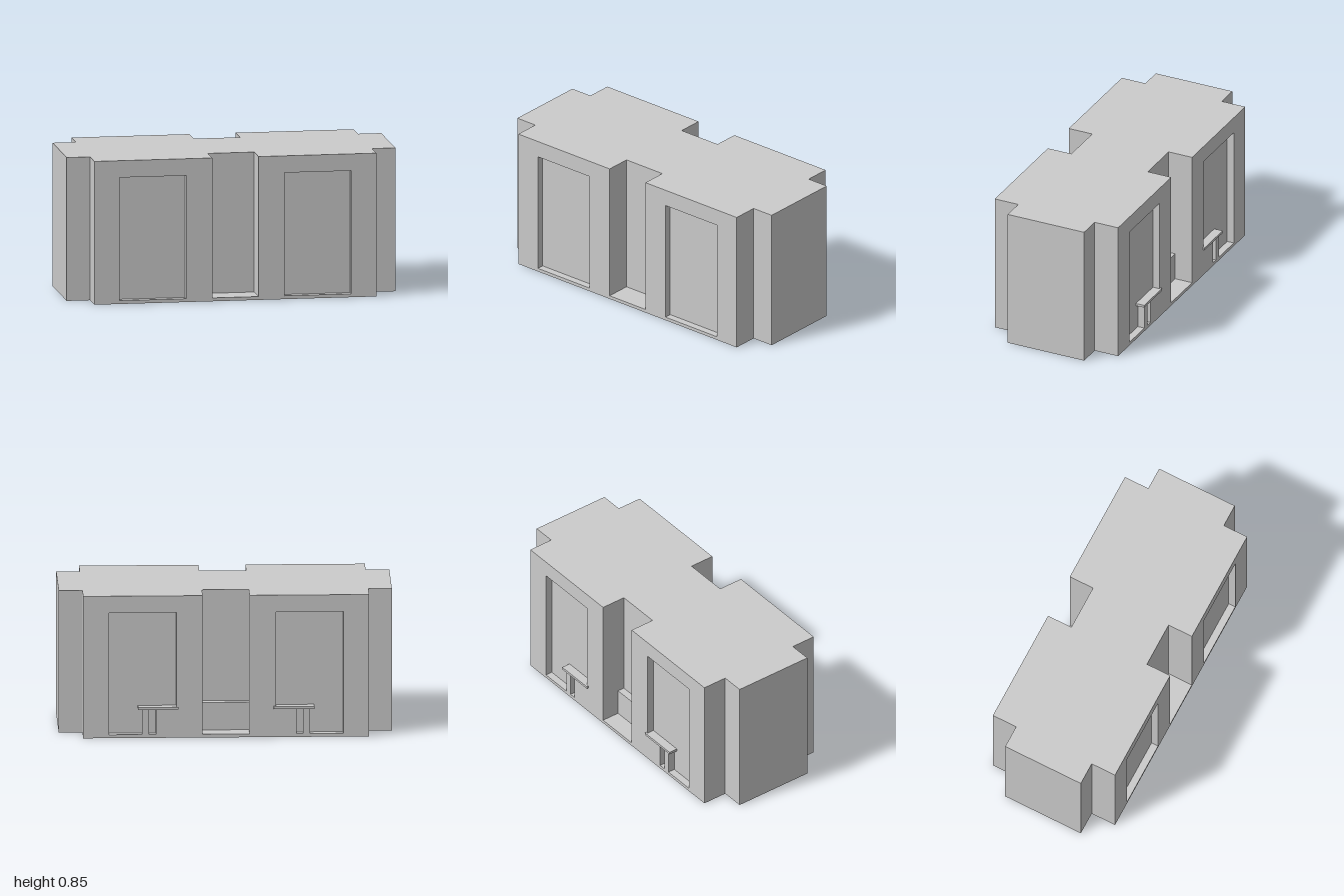
import * as THREE from 'three';

const material = new THREE.MeshStandardMaterial({ color: 0xcccccc, flatShading: true });
const thinMaterial = new THREE.MeshStandardMaterial({ color: 0xcccccc, flatShading: true, side: THREE.DoubleSide });

const FLOOR = 0.02, WINDOW_TOP = 0.75, TOP = 0.85;
const FACE = 0.402, RECESS = 0.359, NOTCH = 0.249;

// Plan outline as [x, z]; the second half is the first turned by 180 degrees
function outline({ notches = false, windows = false } = {}) {
  const dent = (x0, x1, z) => [[x0, FACE], [x0, z], [x1, z], [x1, FACE]];
  const half = [
    [-0.973, NOTCH], [-0.835, NOTCH], [-0.835, FACE],
    ...(windows ? dent(-0.685, -0.29, RECESS) : []),
    ...(notches ? dent(-0.137, 0.137, NOTCH) : []),
    ...(windows ? dent(0.29, 0.685, RECESS) : []),
    [0.835, FACE], [0.835, NOTCH], [0.973, NOTCH],
  ];
  return [...half, ...half.map(([x, z]) => [-x, -z])];
}

function planShape(points) {
  return new THREE.Shape(points.map(([x, z]) => new THREE.Vector2(x, -z)));
}

export function createModel() {
  const model = new THREE.Group();
  model.name = 'building';
  model.rotation.y = -0.157;

  const add = (name, geometry, mat = material) => {
    const mesh = new THREE.Mesh(geometry, mat);
    mesh.name = name;
    model.add(mesh);
    return mesh;
  };
  const slab = (name, points, y0, y1) => {
    const geometry = new THREE.ExtrudeGeometry(planShape(points), { depth: y1 - y0, bevelEnabled: false });
    add(name, geometry.rotateX(-Math.PI / 2).translate(0, y0, 0));
  };
  const box = (name, x0, x1, y0, y1, z0, z1) => {
    const mesh = add(name, new THREE.BoxGeometry(Math.abs(x1 - x0), y1 - y0, Math.abs(z1 - z0)));
    mesh.position.set((x0 + x1) / 2, (y0 + y1) / 2, (z0 + z1) / 2);
  };

  // Walls with window recesses, and the plain band and roof above
  slab('walls', outline({ notches: true, windows: true }), FLOOR, WINDOW_TOP);
  slab('upperWallsAndRoof', outline({ notches: true }), WINDOW_TOP, TOP);

  // Floor plate, also forming the window sills and the notch floors
  const base = outline();
  add('floor', new THREE.ShapeGeometry(planShape(base)).rotateX(-Math.PI / 2).translate(0, FLOOR, 0), thinMaterial);

  // Thin skirt below the floor, open underneath
  base.forEach(([x0, z0], i) => {
    const [x1, z1] = base[(i + 1) % base.length];
    const strip = add('skirt', new THREE.PlaneGeometry(Math.hypot(x1 - x0, z1 - z0), FLOOR), thinMaterial);
    strip.position.set((x0 + x1) / 2, FLOOR / 2, (z0 + z1) / 2);
    strip.rotation.y = -Math.atan2(z1 - z0, x1 - x0);
  });

  // Counters in the back windows, each with a low wall and a post
  for (const side of [-1, 1]) {
    box('counterTop', side * 0.278, side * 0.515, 0.17, 0.185, -0.413, -0.355);
    box('counterWall', side * 0.288, side * 0.41, FLOOR, 0.17, -FACE, -0.355);
    box('counterPost', side * 0.45, side * 0.49, FLOOR, 0.17, -FACE, -0.355);
  }

  // Low ledge in the back notch
  box('ledge', -0.137, 0.137, FLOOR, 0.185, -0.292, -0.245);

  const group = new THREE.Group();
  group.add(model);
  return group;
}
